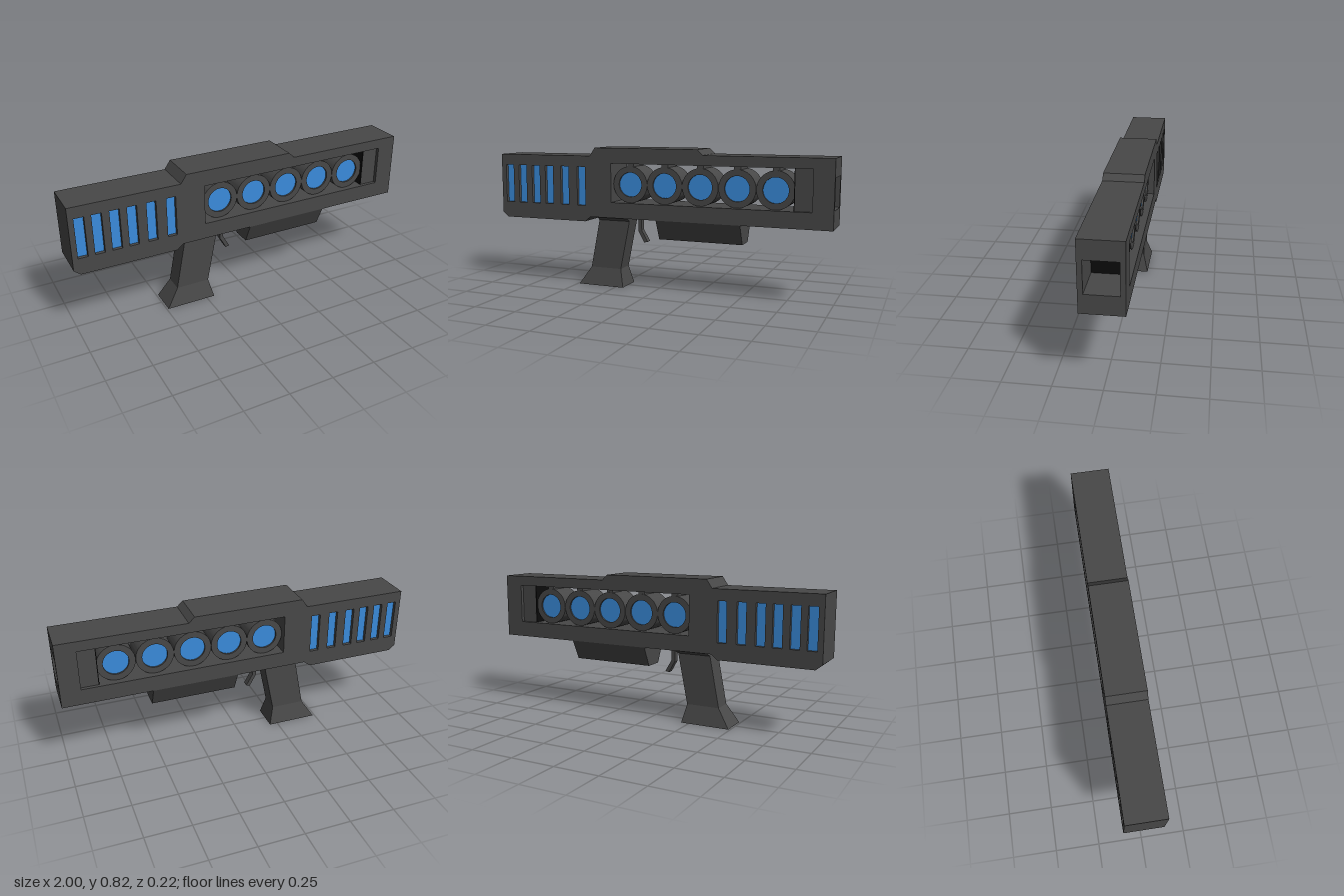
import * as THREE from 'three';
import { toCreasedNormals } from 'three/addons/utils/BufferGeometryUtils.js';

const dark = new THREE.MeshStandardMaterial({ color: 0x484848 });
const black = new THREE.MeshStandardMaterial({ color: 0x0c0c0c });
const blue = new THREE.MeshStandardMaterial({ color: 0x3a8cdc });

function add(parent, name, geometry, material = dark) {
  const mesh = new THREE.Mesh(geometry, material);
  mesh.name = name;
  parent.add(mesh);
  return mesh;
}

const points = (list) => list.map(([x, y]) => new THREE.Vector2(x, y));
const rect = (x0, x1, y0, y1) => points([[x0, y0], [x1, y0], [x1, y1], [x0, y1]]);

// Flat outline in x/y, extruded evenly to both sides of z = 0
function slab(outline, halfDepth, holes = []) {
  const shape = new THREE.Shape(outline);
  for (const hole of holes) shape.holes.push(new THREE.Path(hole));
  const g = new THREE.ExtrudeGeometry(shape, { depth: halfDepth * 2, bevelEnabled: false });
  return g.translate(0, 0, -halfDepth);
}

// Outline in z/y, extruded along x from x0 to x1
function alongX(outline, x0, x1, holes = []) {
  return slab(outline, (x1 - x0) / 2, holes).rotateY(Math.PI / 2).translate((x0 + x1) / 2, 0, 0);
}

function box(x0, x1, y0, y1, halfDepth) {
  return new THREE.BoxGeometry(x1 - x0, y1 - y0, halfDepth * 2)
    .translate((x0 + x1) / 2, (y0 + y1) / 2, 0);
}

// Stack of rectangular sections [y, xMin, xMax, halfDepth], from bottom to top
function rectLoft(sections) {
  const pos = [], index = [];
  for (const [y, a, b, h] of sections) pos.push(a, y, h, b, y, h, b, y, -h, a, y, -h);
  const last = (sections.length - 1) * 4;
  for (let s = 0; s < last; s += 4) {
    for (let i = 0; i < 4; i++) {
      const j = (i + 1) % 4;
      index.push(s + i, s + j, s + 4 + j, s + i, s + 4 + j, s + 4 + i);
    }
  }
  index.push(0, 2, 1, 0, 3, 2, last, last + 1, last + 2, last, last + 2, last + 3);
  const g = new THREE.BufferGeometry();
  g.setAttribute('position', new THREE.Float32BufferAttribute(pos, 3));
  g.setIndex(index);
  const flat = g.toNonIndexed();
  flat.computeVertexNormals();
  return flat;
}

export function createModel() {
  const model = new THREE.Group();
  model.name = 'blaster';

  // Main housing with side window and rear vent slots
  const slots = [-0.97, -0.88, -0.787, -0.695, -0.59, -0.48]
    .map((x) => rect(x, x + 0.053, 0.48, 0.706));
  add(model, 'housing', slab(points([
    [-1, 0.415], [-0.965, 0.386], [-0.43, 0.386], [-0.395, 0.415], [0.89, 0.415],
    [0.89, 0.505], [-0.26, 0.505], [-0.26, 0.73], [0.89, 0.73], [0.89, 0.787],
    [0.295, 0.787], [0.262, 0.818], [-0.362, 0.818], [-0.395, 0.77], [-1, 0.77],
  ]), 0.11, slots));
  add(model, 'ventCore', box(-0.98, -0.42, 0.47, 0.716, 0.09), blue);

  // Hollow square muzzle
  const bore = rect(-0.084, 0.084, 0.516, 0.686);
  add(model, 'muzzle', alongX(rect(-0.11, 0.11, 0.415, 0.787), 0.89, 1, [bore]));
  add(model, 'barrelSleeve', alongX(rect(-0.09, 0.09, 0.505, 0.73), 0.795, 0.89, [bore]));
  add(model, 'barrelEnd', box(0.79, 0.796, 0.505, 0.73, 0.0895), black);

  // Row of energy coils hanging in the window
  const ringShape = new THREE.Shape().absarc(0, 0, 0.105, 0, Math.PI * 2);
  ringShape.holes.push(new THREE.Path().absarc(0, 0, 0.07, 0, Math.PI * 2, true));
  const ring = toCreasedNormals(new THREE.ExtrudeGeometry(ringShape, {
    depth: 0.15, bevelEnabled: false, curveSegments: 32,
  }).translate(0, 0, -0.075), 0.6);
  const lens = new THREE.CylinderGeometry(0.071, 0.071, 0.13, 32).rotateX(Math.PI / 2);
  for (let i = 0; i < 5; i++) {
    const coil = new THREE.Group();
    coil.name = 'coil';
    coil.position.set(-0.154 + i * 0.211, 0.609, 0);
    add(coil, 'coilRing', ring);
    add(coil, 'coilLens', lens, blue);
    add(coil, 'coilHanger', box(-0.019, 0.019, 0.1, 0.123, 0.07));
    model.add(coil);
  }

  // Tapered forward grip block under the housing
  add(model, 'foreGrip', alongX(points([
    [-0.055, 0.3], [0.055, 0.3], [0.11, 0.415], [-0.11, 0.415],
  ]), 0.018, 0.508));

  // Handle with flared foot and collar
  add(model, 'handle', rectLoft([
    [0, -0.49, -0.203, 0.081],
    [0.105, -0.42, -0.228, 0.055],
    [0.392, -0.364, -0.17, 0.055],
    [0.416, -0.36, -0.165, 0.098],
  ]));

  // Bent trigger
  add(model, 'trigger', slab(points([
    [-0.13, 0.42], [-0.13, 0.335], [-0.092, 0.267], [-0.07, 0.273], [-0.108, 0.338], [-0.108, 0.42],
  ]), 0.018));

  return model;
}
